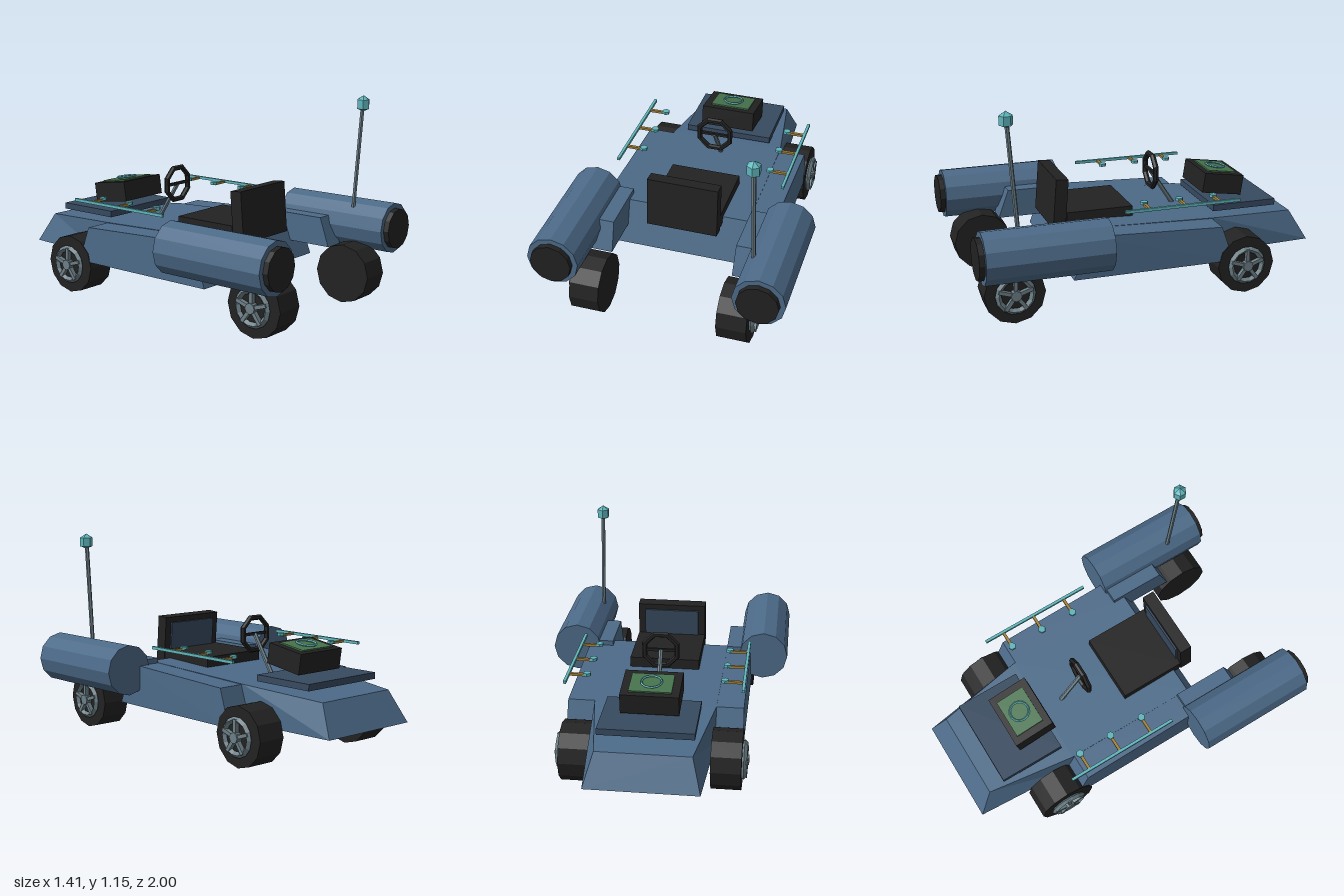
import * as THREE from 'three';

const mat = (name, color) => {
  const m = new THREE.MeshStandardMaterial({ color, flatShading: true });
  m.name = name;
  return m;
};

export function createModel() {
  const blue = mat('hull blue', 0x4c6a88);
  const navy = mat('panel navy', 0x374a60);
  const black = mat('rubber black', 0x222222);
  const grey = mat('metal grey', 0x6c7f87);
  const teal = mat('light teal', 0x5fb5bb);
  const gold = mat('bracket gold', 0xa1813c);
  const green = mat('screen green', 0x46734d);

  const root = new THREE.Group();
  const add = (name, geo, material, pos = [0, 0, 0], rot = [0, 0, 0], parent = root) => {
    const m = new THREE.Mesh(geo, material);
    m.name = name;
    m.position.set(...pos);
    m.rotation.set(...rot);
    parent.add(m);
    return m;
  };
  const box = (w, h, d) => new THREE.BoxGeometry(w, h, d);
  const cyl = (r, h, n) => new THREE.CylinderGeometry(r, r, h, n);

  // round bar between two points
  const bar = (name, a, b, r, material, n = 6) => {
    const A = new THREE.Vector3(...a), B = new THREE.Vector3(...b);
    const m = add(name, cyl(r, A.distanceTo(B), n), material);
    m.position.copy(A).add(B).multiplyScalar(0.5);
    m.quaternion.setFromUnitVectors(new THREE.Vector3(0, 1, 0), B.sub(A).normalize());
    return m;
  };

  // four-cornered sections joined along +z: { z:[bottom,top], y:[bottom,top], b:[xMin,xMax], t:[xMin,xMax] }
  const loft = (sections) => {
    const rings = sections.map(({ z, y, b, t }) => [
      [b[0], y[0], z[0]], [b[1], y[0], z[0]], [t[1], y[1], z[1]], [t[0], y[1], z[1]]]);
    const p = [];
    const quad = (a, b, c, d) => p.push(...a, ...b, ...c, ...a, ...c, ...d);
    for (let s = 0; s < rings.length - 1; s++) {
      const A = rings[s], B = rings[s + 1];
      for (let i = 0; i < 4; i++) quad(A[i], A[(i + 1) % 4], B[(i + 1) % 4], B[i]);
    }
    const F = rings[0], L = rings[rings.length - 1];
    quad(F[3], F[2], F[1], F[0]);
    quad(L[0], L[1], L[2], L[3]);
    const g = new THREE.BufferGeometry();
    g.setAttribute('position', new THREE.Float32BufferAttribute(p, 3));
    g.computeVertexNormals();
    return g;
  };

  // wedge hull
  const sym = (w) => [-w, w];
  add('hull', loft([
    { z: [-1, -0.905], y: [0.2, 0.37], b: sym(0.305), t: sym(0.255) },
    { z: [-0.42, -0.4], y: [0.2, 0.405], b: sym(0.34), t: sym(0.335) },
    { z: [0.46, 0.37], y: [0.2, 0.435], b: sym(0.345), t: sym(0.345) },
  ]), blue);

  // wheel with five-spoke rim facing local +x
  const wheel = (name, side, z) => {
    const g = new THREE.Group();
    g.name = name;
    g.position.set(side * 0.41, 0.167, z);
    if (side < 0) g.rotation.y = Math.PI;
    root.add(g);
    add('tyre', cyl(0.166, 0.165, 12), black, [0, 0, 0], [0, 0, Math.PI / 2], g);
    const rim = new THREE.TorusGeometry(0.093, 0.017, 4, 14);
    add('rim', rim, grey, [0.092, 0, 0], [0, Math.PI / 2, 0], g);
    add('hubCap', cyl(0.03, 0.035, 8), grey, [0.1, 0, 0], [0, 0, Math.PI / 2], g);
    for (let i = 0; i < 5; i++) {
      const a = (i / 5) * Math.PI * 2;
      add('spoke', box(0.025, 0.09, 0.02), grey,
        [0.098, Math.cos(a) * 0.052, Math.sin(a) * 0.052], [a, 0, 0], g);
    }
  };

  for (const s of [1, -1]) {
    const side = s > 0 ? 'left' : 'right';
    const span = (a, b) => (s > 0 ? [a, b] : [-b, -a]);

    // side pod behind the front wheel
    add(side + 'SidePod', loft([
      { z: [-0.46, -0.39], y: [0.2, 0.402], b: span(0.33, 0.49), t: span(0.33, 0.485) },
      { z: [0.46, 0.37], y: [0.2, 0.434], b: span(0.33, 0.49), t: span(0.33, 0.485) },
    ]), blue);

    // arm carrying the thruster
    add(side + 'ThrusterArm', loft([
      { z: [0.3, 0.3], y: [0.3, 0.46], b: span(0.34, 0.46), t: span(0.345, 0.46) },
      { z: [0.68, 0.62], y: [0.3, 0.46], b: span(0.34, 0.46), t: span(0.345, 0.46) },
    ]), blue);

    add(side + 'Thruster', cyl(0.143, 0.68, 12), blue, [s * 0.56, 0.415, 0.63], [Math.PI / 2, 0, 0]);
    add(side + 'ThrusterNozzle', cyl(0.114, 0.04, 12), black, [s * 0.56, 0.415, 0.98], [Math.PI / 2, 0, 0]);

    wheel(side + 'FrontWheel', s, -0.535);
    wheel(side + 'RearWheel', s, 0.783);

    // light rail with three bracket arms
    add(side + 'LightRail', box(0.016, 0.016, 0.66), teal, [s * 0.482, 0.55, -0.16]);
    for (const z of [-0.375, -0.175, 0.03]) {
      add(side + 'RailBracket', box(0.1, 0.014, 0.016), gold, [s * 0.43, 0.548, z]);
      add(side + 'RailTip', cyl(0.022, 0.016, 6), teal, [s * 0.377, 0.554, z]);
    }
  }

  // seat
  add('seatCushion', box(0.4, 0.08, 0.38), black, [0, 0.44, 0.225]);
  const back = new THREE.Group();
  back.name = 'seatBack';
  back.position.set(0, 0.53, 0.448);
  back.rotation.x = -0.08;
  root.add(back);
  add('backrest', box(0.4, 0.285, 0.07), black, [0, 0, 0], [0, 0, 0], back);
  add('backrestPad', box(0.32, 0.2, 0.014), navy, [0, 0.01, -0.038], [0, 0, 0], back);

  // steering wheel and column
  add('steeringWheel', new THREE.TorusGeometry(0.098, 0.016, 6, 8), black,
    [0, 0.615, -0.142], [0, 0, Math.PI / 8]);
  bar('steeringColumn', [0, 0.615, -0.14], [0, 0.39, -0.285], 0.013, grey);
  add('steeringSpoke', box(0.19, 0.016, 0.014), black, [0, 0.615, -0.142]);

  // bonnet plate and tilted console with ring display
  add('bonnetPlate', box(0.515, 0.036, 0.38), navy, [0, 0.433, -0.62]);
  const desk = new THREE.Group();
  desk.name = 'console';
  desk.position.set(0, 0.537, -0.53);
  desk.rotation.x = -0.15;
  root.add(desk);
  add('consoleBody', box(0.315, 0.115, 0.24), black, [0, 0, 0], [0, 0, 0], desk);
  add('consoleScreen', box(0.23, 0.009, 0.17), green, [0, 0.061, -0.003], [0, 0, 0], desk);
  add('displayRing', new THREE.TorusGeometry(0.055, 0.006, 4, 14), teal,
    [0, 0.072, -0.003], [Math.PI / 2, 0, 0], desk);

  // antenna with faceted beacon
  bar('antenna', [0.475, 0.52, 0.755], [0.475, 1.1, 0.797], 0.012, grey);
  add('antennaBeacon', cyl(0.037, 0.05, 6), teal, [0.475, 1.105, 0.8]);
  add('beaconTop', new THREE.ConeGeometry(0.037, 0.024, 6), teal, [0.475, 1.142, 0.8]);
  add('beaconBase', new THREE.ConeGeometry(0.037, 0.016, 6), teal, [0.475, 1.073, 0.8], [Math.PI, 0, 0]);

  return root;
}
